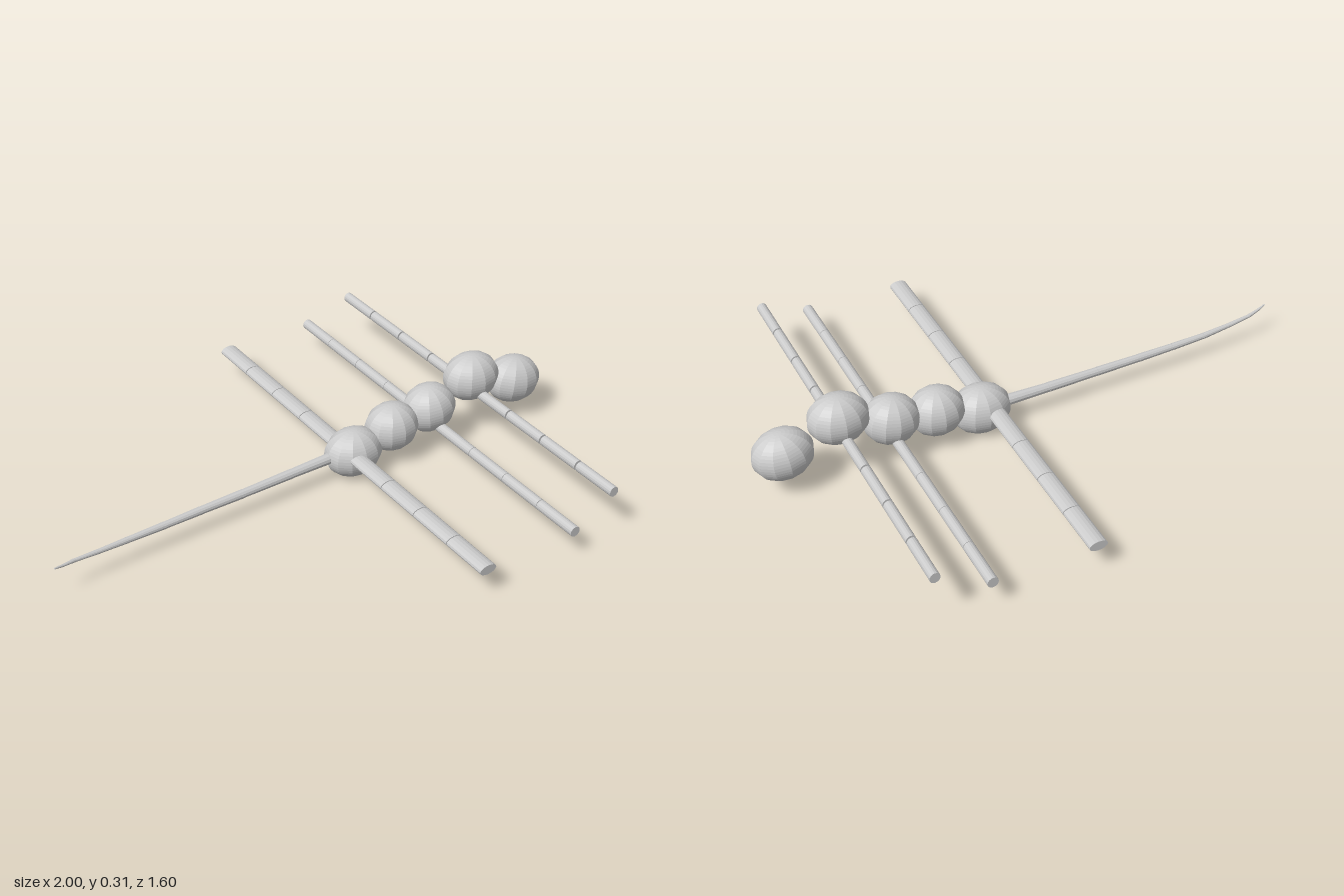
import * as THREE from 'three';

const material = new THREE.MeshStandardMaterial({ color: 0xcccccc, flatShading: true });

function addMesh(parent, name, geometry) {
  const mesh = new THREE.Mesh(geometry, material);
  mesh.name = name;
  parent.add(mesh);
  return mesh;
}

// Tapered cylinder running from point a to point b
function addRod(parent, name, a, b, ra, rb, sides) {
  const dir = b.clone().sub(a);
  const rod = addMesh(parent, name, new THREE.CylinderGeometry(rb, ra, dir.length(), sides));
  rod.position.copy(a).add(b).multiplyScalar(0.5);
  rod.quaternion.setFromUnitVectors(new THREE.Vector3(0, 1, 0), dir.normalize());
  return rod;
}

export function createModel() {
  const model = new THREE.Group();

  // Body segments and head: x, y, x radius, tilt
  const body = new THREE.Group();
  body.name = 'body';
  model.add(body);
  [
    ['hipSegment', 0.183, 0.091, 0.108, 0],
    ['bellySegment', 0.347, 0.138, 0.1, 0],
    ['chestSegment', 0.51, 0.16, 0.1, 0.1],
    ['shoulderSegment', 0.694, 0.228, 0.107, 0],
    ['head', 0.892, 0.15, 0.107, -0.12],
  ].forEach(([name, x, y, rx, tilt]) => {
    const ball = addMesh(body, name, new THREE.SphereGeometry(1, 12, 24));
    ball.scale.set(rx, 0.089, 0.087);
    ball.position.set(x, y, 0.003);
    ball.rotation.z = tilt;
  });

  // Jointed straight limbs, mirrored: x, y, x radius, y radius, gap, joints along z
  [
    ['backLeg', 0.155, 0.106, 0.032, 0.018, 0.003, [0.04, 0.255, 0.438, 0.62, 0.8]],
    ['middleLeg', 0.515, 0.106, 0.019, 0.019, 0.002, [0.04, 0.257, 0.44, 0.622, 0.8]],
    ['frontLeg', 0.693, 0.182, 0.018, 0.019, 0.007, [0.04, 0.23, 0.415, 0.6, 0.78]],
  ].forEach(([name, x, y, rx, ry, gap, joints]) => {
    for (const side of [1, -1]) {
      const leg = new THREE.Group();
      leg.name = name + (side > 0 ? 'Front' : 'Rear');
      model.add(leg);
      for (let i = 0; i < joints.length - 1; i++) {
        const length = joints[i + 1] - joints[i] - gap;
        const geometry = new THREE.CylinderGeometry(1, 1, length, 16);
        geometry.rotateX(Math.PI / 2).scale(rx, ry, 1);
        const part = addMesh(leg, 'legSection', geometry);
        part.position.set(x, y, side * (joints[i] + joints[i + 1]) / 2);
      }
    }
  });

  // Tapering tail made of jointed sections: x, y, z, radius
  const tail = new THREE.Group();
  tail.name = 'tail';
  model.add(tail);
  const path = [
    [0.12, 0.094, -0.003, 0.021], [-0.075, 0.092, 0.001, 0.018],
    [-0.27, 0.091, 0.007, 0.0165], [-0.44, 0.091, 0.011, 0.015],
    [-0.58, 0.091, 0.016, 0.0135], [-0.715, 0.093, 0.021, 0.0115],
    [-0.83, 0.099, 0.03, 0.009], [-0.92, 0.107, 0.038, 0.007],
    [-0.965, 0.113, 0.049, 0.005], [-0.999, 0.121, 0.058, 0.003],
  ];
  for (let i = 0; i < path.length - 1; i++) {
    const a = path[i], b = path[i + 1];
    addRod(tail, 'tailSection', new THREE.Vector3(a[0], a[1], a[2]),
      new THREE.Vector3(b[0], b[1], b[2]), a[3], b[3] * 0.95, 12);
  }

  return model;
}
